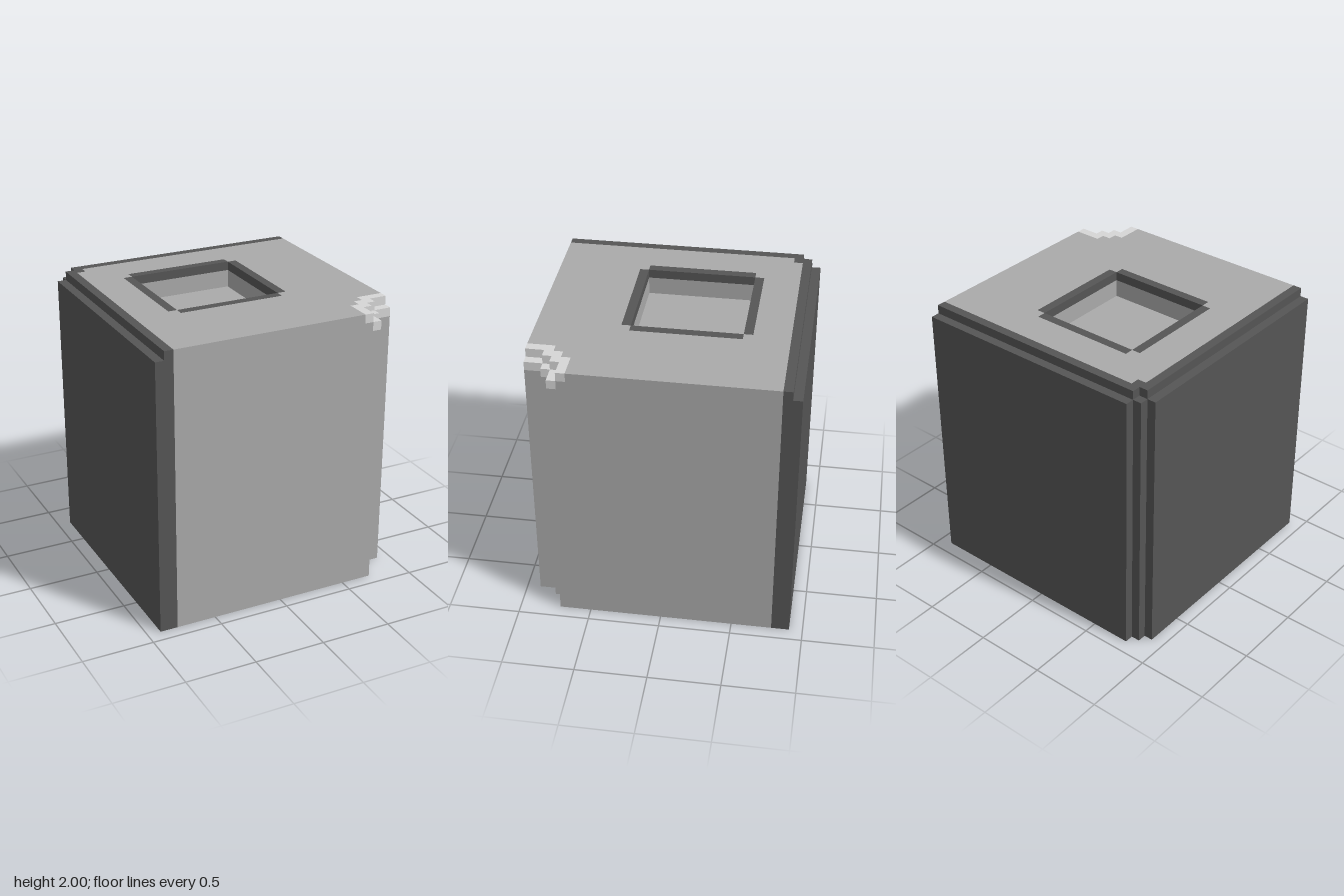
import * as THREE from 'three';

// Everything sits on a grid of 29 x 32 x 29 cells; z = 0 is the back row.
const CELL = 1 / 16;
const HALF = 14.5;

const material = (name, color) => {
  const m = new THREE.MeshStandardMaterial({ color });
  m.name = name;
  return m;
};

const rect = (x0, z0, x1, z1) => [[x0, z0], [x1, z0], [x1, z1], [x0, z1]];
const points = (outline) =>
  outline.map(([x, z]) => new THREE.Vector2((x - HALF) * CELL, (HALF - z) * CELL));

// Upright slab with the given floor outline, from layer y0 to layer y1
function slab(parent, name, mat, outline, y0, y1, hole) {
  const shape = new THREE.Shape(points(outline));
  if (hole) shape.holes.push(new THREE.Path(points(hole)));
  const geometry = new THREE.ExtrudeGeometry(shape, { depth: (y1 - y0) * CELL, bevelEnabled: false });
  geometry.rotateX(-Math.PI / 2);
  geometry.translate(0, y0 * CELL, 0);
  const mesh = new THREE.Mesh(geometry, mat);
  mesh.name = name;
  parent.add(mesh);
}

export function createModel() {
  const grey = material('mid grey', 0xaaaaaa);
  const dark = material('dark grey', 0x555555);
  const light = material('light grey', 0xd6d6d6);

  const model = new THREE.Group();
  model.name = 'steppedBlock';

  // Stepped front corner, wider in each upper layer
  const notch = [[26, 29], [26, 27], [27, 27], [27, 26], [29, 26]];
  const chip = [[25, 29], [25, 27], [26, 27], [26, 26], [27, 26], [27, 25], [29, 25]];
  const rim = [[24, 29], [24, 26], [25, 26], [25, 25], [26, 25], [26, 24], [29, 24]];
  const body = (corner) => [[2, 29], ...corner, [29, 2], [3, 2], [3, 3], [2, 3]];

  // Main body with a square recess in the top
  const recess = rect(7, 7, 19, 19);
  const recessWithRim = [
    [6, 7], [7, 7], [7, 6], [19, 6], [19, 7], [20, 7],
    [20, 19], [19, 19], [19, 20], [7, 20], [7, 19], [6, 19],
  ];
  slab(model, 'bodyLower', grey, body(notch), 0, 29);
  slab(model, 'bodyRecessFloorLayer', grey, body(notch), 29, 30, recess);
  slab(model, 'bodyRecessWallLayer', grey, body(chip), 30, 31, recess);
  slab(model, 'bodyTopLayer', grey, body(rim), 31, 32, recessWithRim);

  // Dark rim around the recess
  const recessRim = new THREE.Group();
  recessRim.name = 'recessRim';
  [rect(6, 7, 7, 19), rect(19, 7, 20, 19), rect(7, 6, 19, 7), rect(7, 19, 19, 20)]
    .forEach((r) => slab(recessRim, 'rimBar', dark, r, 31, 32));
  model.add(recessRim);

  // Dark shell along the back and one side, stepped at its corner and top edge
  const inner = [[2, 29], [2, 3], [3, 3], [3, 2], [29, 2]];
  slab(model, 'darkShell', dark,
    [[0, 29], ...inner, [29, 0], [2, 0], [2, 1], [1, 1], [1, 2], [0, 2]], 0, 31);
  slab(model, 'darkShellTop', dark,
    [[1, 29], ...inner, [29, 1], [2, 1], [2, 2], [1, 2]], 31, 32);

  // Light worn corner
  const wornCorner = new THREE.Group();
  wornCorner.name = 'wornCorner';
  [rect(25, 27, 26, 29), rect(26, 26, 27, 27), rect(27, 25, 29, 26)]
    .forEach((r) => slab(wornCorner, 'lowerChip', light, r, 30, 31));
  [rect(24, 26, 25, 29), rect(25, 25, 26, 27), rect(26, 24, 27, 26), rect(27, 24, 29, 25)]
    .forEach((r) => slab(wornCorner, 'upperChip', light, r, 31, 32));
  model.add(wornCorner);

  return model;
}
